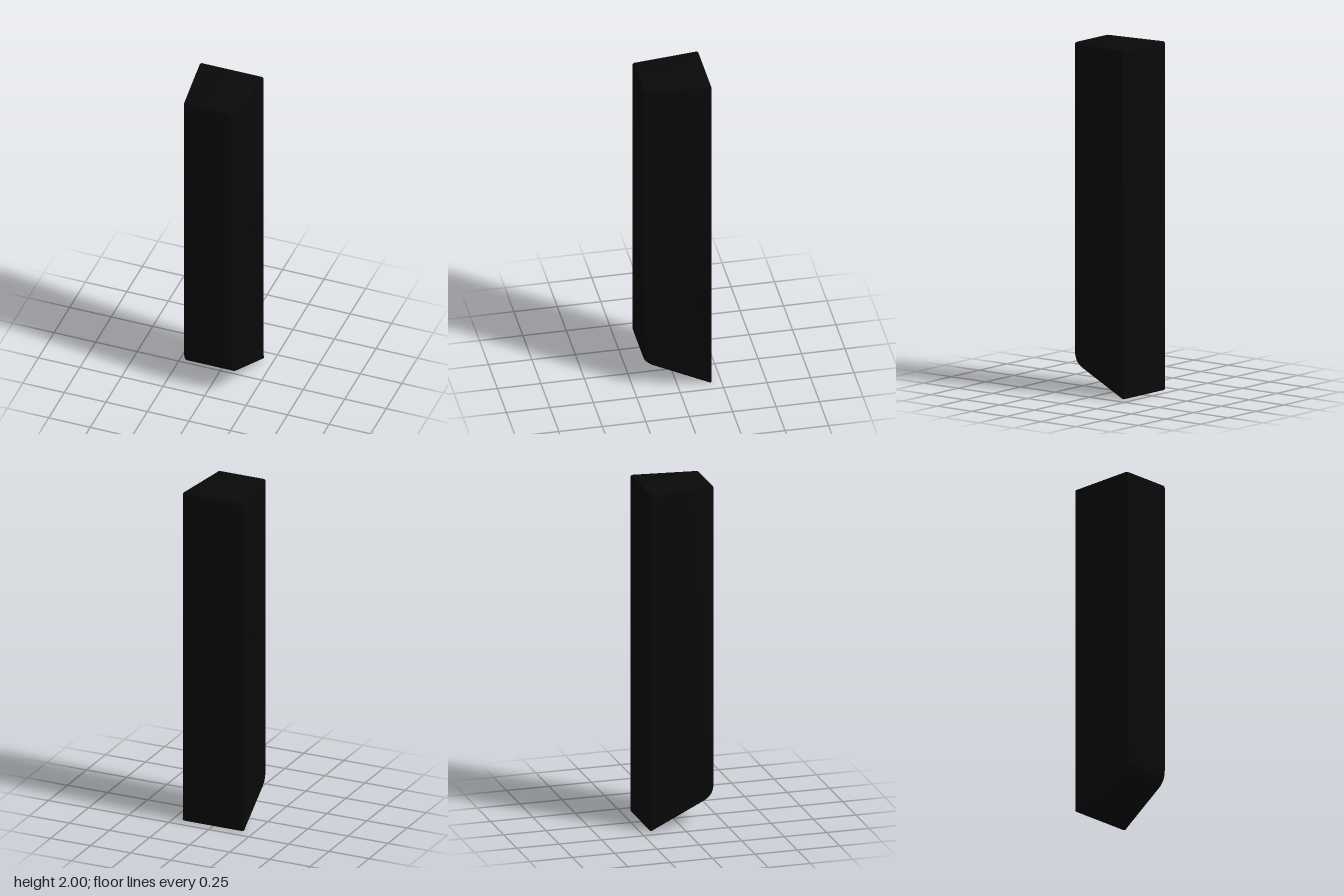
import * as THREE from 'three';
import { toCreasedNormals } from 'three/addons/utils/BufferGeometryUtils.js';

// Closed outline with softened corners; each corner is [z, y, rounding length]
function roundedOutline(corners) {
  const shape = new THREE.Shape();
  const n = corners.length;
  corners.forEach(([x, y, r], i) => {
    const p = new THREE.Vector2(x, y);
    const toward = (c) => new THREE.Vector2(c[0], c[1]).sub(p).setLength(r).add(p);
    const a = toward(corners[(i + n - 1) % n]);
    const b = toward(corners[(i + 1) % n]);
    if (i === 0) shape.moveTo(a.x, a.y);
    else shape.lineTo(a.x, a.y);
    shape.quadraticCurveTo(x, y, b.x, b.y);
  });
  shape.closePath();
  return shape;
}

export function createModel() {
  const group = new THREE.Group();
  group.name = 'taperedBar';

  const half = 0.195, backWidth = 0.194, frontWidth = 0.147, bevel = 0.014;

  // Side profile: square top, sloping underside, large round at the lower front
  const profile = roundedOutline([
    [-half, -0.005, 0.016],
    [half, 0.162, 0.065],
    [half, 2, 0.016],
    [-half, 2, 0.016],
  ]);
  let geometry = new THREE.ExtrudeGeometry(profile, {
    depth: 2 * (backWidth - bevel),
    bevelThickness: bevel,
    bevelSize: bevel,
    bevelOffset: -bevel,
    bevelSegments: 4,
    curveSegments: 8,
  });
  geometry.translate(0, 0, -(backWidth - bevel));
  geometry.rotateY(-Math.PI / 2);

  // Narrow the bar toward the front
  const pos = geometry.attributes.position;
  for (let i = 0; i < pos.count; i++) {
    const t = (pos.getZ(i) + half) / (2 * half);
    pos.setX(i, pos.getX(i) * THREE.MathUtils.lerp(1, frontWidth / backWidth, t));
  }
  geometry.computeBoundingBox();
  geometry.translate(0, -geometry.boundingBox.min.y, 0);
  geometry = toCreasedNormals(geometry, 0.6);

  const bar = new THREE.Mesh(geometry, new THREE.MeshStandardMaterial({ color: 0x090909 }));
  bar.name = 'bar';
  group.add(bar);
  return group;
}
